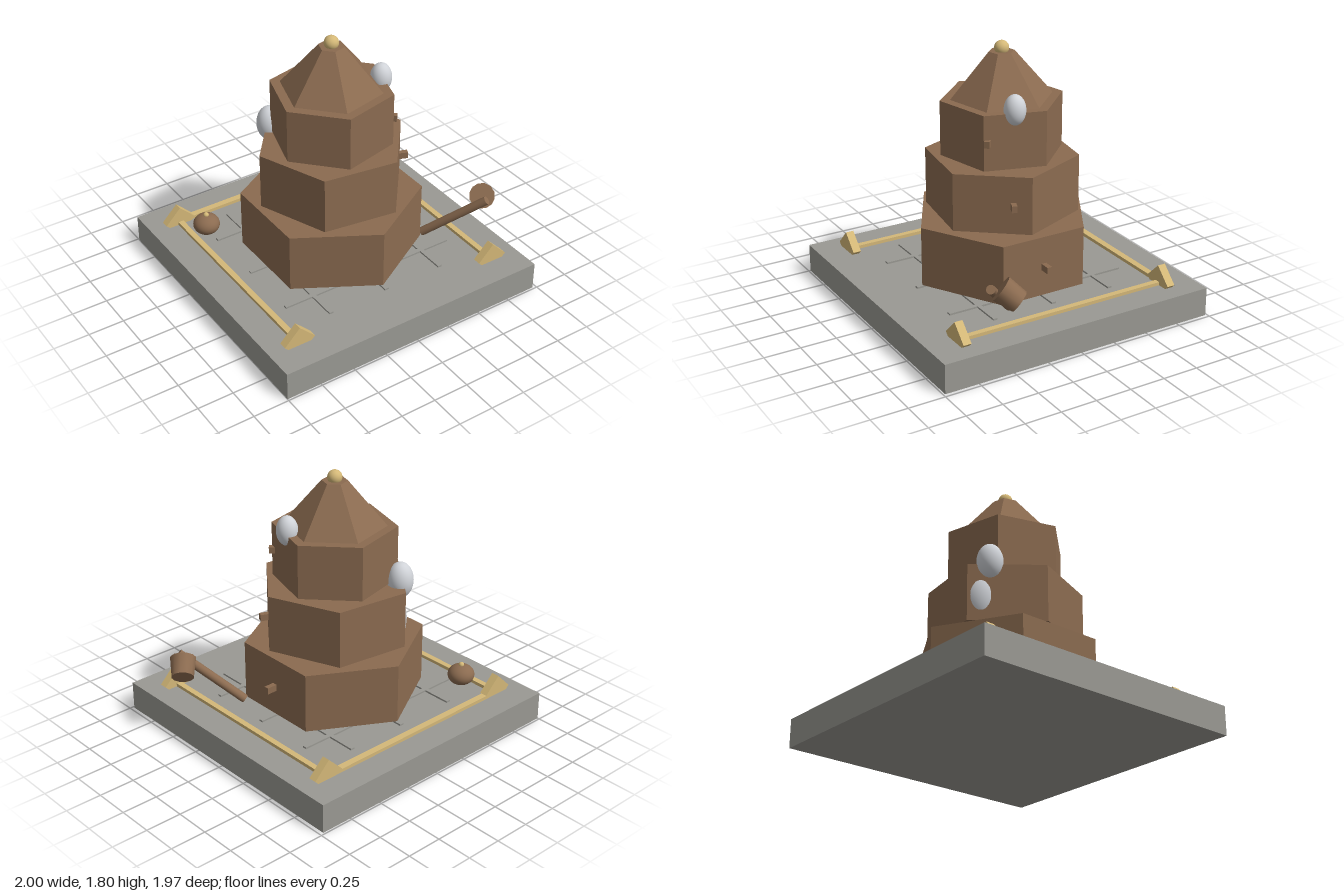
import * as THREE from 'three';
import { toCreasedNormals } from 'three/addons/utils/BufferGeometryUtils.js';

const material = (name, color) => {
  const m = new THREE.MeshStandardMaterial({ color });
  m.name = name;
  return m;
};
const rad = THREE.MathUtils.degToRad;

export function createModel() {
  const model = new THREE.Group();
  model.name = 'tieredTower';
  const brown = material('brown wood', 0x8b6b50);
  const grey = material('grey stone', 0x9a9993);
  const gold = material('pale gold', 0xd4b878);
  const silver = material('silver', 0xd0d3d8);
  const cx = -0.013; // tower axis

  const add = (name, geometry, mat, x, y, z, parent = model) => {
    const mesh = new THREE.Mesh(geometry, mat);
    mesh.name = name;
    mesh.position.set(x, y, z);
    parent.add(mesh);
    return mesh;
  };
  const box = (name, w, h, d, mat, x, y, z) =>
    add(name, new THREE.BoxGeometry(w, h, d), mat, x, y, z);
  const ellipsoid = (name, r, ry, mat, x, y, z) =>
    add(name, new THREE.SphereGeometry(r, 32, 20).scale(1, ry / r, 1), mat, x, y, z);
  const hexPrism = (name, rTop, rBottom, y0, y1, turn) => {
    const g = toCreasedNormals(new THREE.CylinderGeometry(rTop, rBottom, y1 - y0, 6), 0.3);
    add(name, g, brown, cx, (y0 + y1) / 2, 0).rotation.y = rad(turn);
  };
  // Cylinder running between two points
  const rod = (name, a, b, rEnd, rStart, sides) => {
    const from = new THREE.Vector3(...a), dir = new THREE.Vector3(...b).sub(from);
    const g = toCreasedNormals(new THREE.CylinderGeometry(rEnd, rStart, dir.length(), sides), 0.7);
    const mid = from.addScaledVector(dir, 0.5);
    add(name, g, brown, mid.x, mid.y, mid.z)
      .quaternion.setFromUnitVectors(new THREE.Vector3(0, 1, 0), dir.normalize());
  };

  // Base slab with a grid of thin raised strips
  box('base', 1.973, 0.2, 1.973, grey, cx, 0.1, 0);
  for (const o of [-0.438, 0, 0.438]) {
    box('floorStripAlongX', 1.31, 0.012, 0.03, grey, cx, 0.206, o);
    box('floorStripAlongZ', 0.03, 0.0125, 1.31, grey, cx + o, 0.206, 0);
  }

  // Three twisted hexagonal tiers, tapered roof and finial
  hexPrism('lowerTier', 0.612, 0.612, 0.212, 0.624, 0);
  hexPrism('middleTier', 0.513, 0.513, 0.646, 1.04, 21.5);
  hexPrism('upperTier', 0.412, 0.412, 1.052, 1.425, 43.2);
  hexPrism('roof', 0.086, 0.343, 1.425, 1.73, 43.2);
  ellipsoid('finial', 0.049, 0.049, gold, cx, 1.752, 0);

  // Pegs spiralling up the tiers: [angle from +z, outer distance, height]
  for (const [angle, reach, y] of [[90, 0.603, 0.415], [68.3, 0.522, 0.84], [46.6, 0.43, 1.24]]) {
    const a = rad(angle), d = reach - 0.05;
    box('peg', 0.035, 0.045, 0.1, brown, cx + d * Math.sin(a), y, d * Math.cos(a)).rotation.y = a;
  }

  // Silver pods set into the walls
  ellipsoid('upperPod', 0.072, 0.102, silver, 0.31, 1.443, 0.096);
  ellipsoid('backPod', 0.088, 0.125, silver, -0.273, 1.066, -0.35);
  ellipsoid('lowerPod', 0.13, 0.205, silver, -0.168, 0.822, -0.34);

  // Railing on three sides, with diamond posts at the corners
  for (const s of [-1, 1]) {
    box('sideRail', 0.04, 0.024, 1.54, gold, cx + s * 0.77, 0.211, 0);
    for (const t of [-1, 1]) {
      box('cornerPost', 0.158, 0.158, 0.056, gold, cx + s * 0.77, 0.225, t * 0.77)
        .rotation.z = Math.PI / 4;
    }
  }
  box('backRail', 1.54, 0.025, 0.046, gold, cx, 0.211, -0.775);

  // Round pot with a small knob
  ellipsoid('pot', 0.092, 0.072, brown, -0.685, 0.284, -0.547);
  ellipsoid('potKnob', 0.019, 0.019, gold, -0.685, 0.357, -0.547);

  // Mallet leaning outwards
  rod('malletHandle', [0.55, 0.215, 0.28], [0.85, 0.545, 0.595], 0.03, 0.03, 16);
  rod('malletHead', [0.862, 0.54, 0.53], [0.935, 0.46, 0.442], 0.075, 0.088, 12);
  return model;
}
